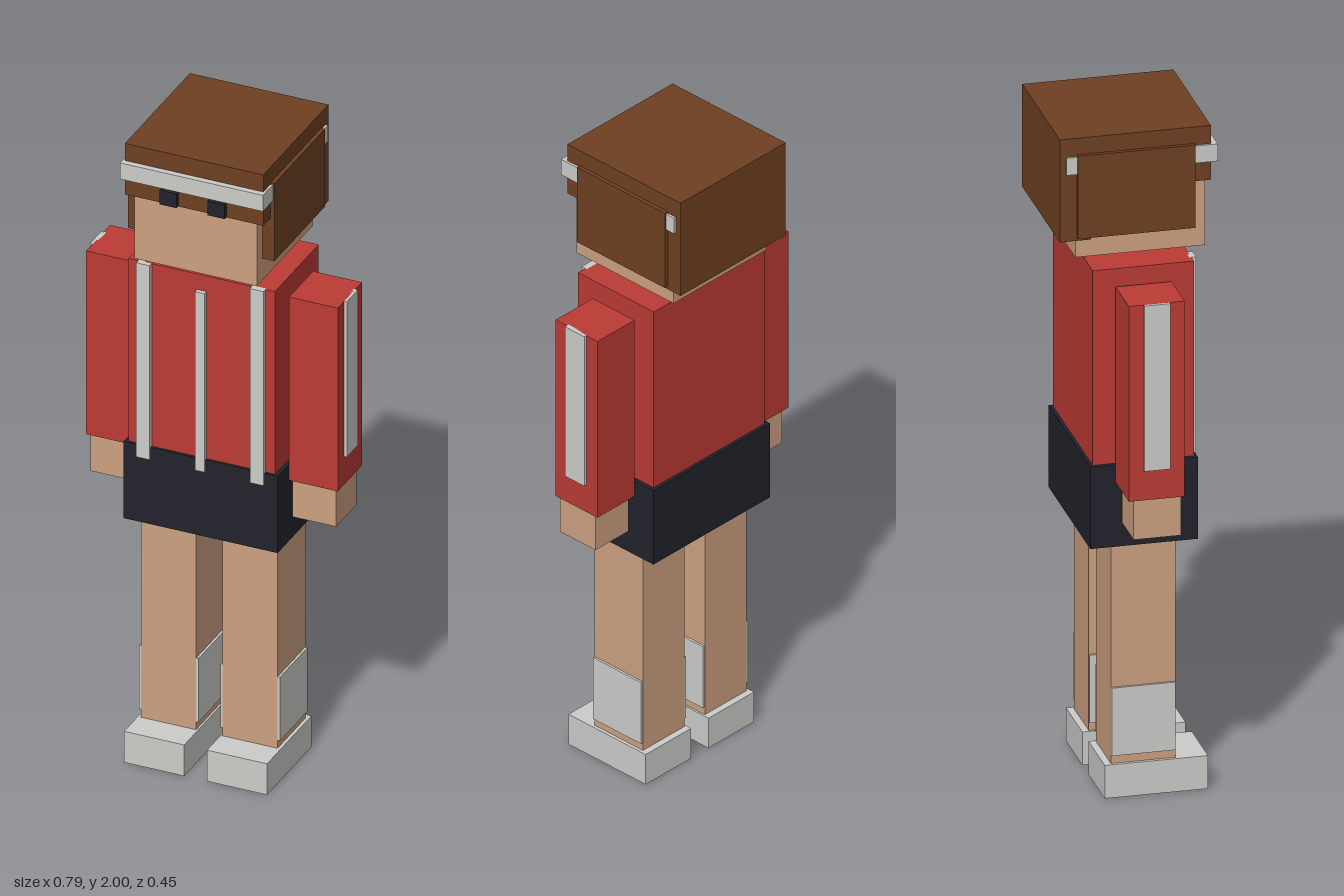
import * as THREE from 'three';

const mat = (name, color) => {
  const m = new THREE.MeshStandardMaterial({ color });
  m.name = name;
  return m;
};

export function createModel() {
  const skin = mat('skin', 0xcda181);
  const red = mat('red jacket', 0xbc3b35);
  const brown = mat('brown hair', 0x6f4022);
  const navy = mat('dark navy', 0x22222c);
  const white = mat('off white', 0xcdcdca);

  const model = new THREE.Group();
  model.name = 'blockFigure';

  const group = (name) => {
    const g = new THREE.Group();
    g.name = name;
    model.add(g);
    return g;
  };

  // Box given by its limits on each axis
  const box = (parent, name, material, [x0, x1], [y0, y1], [z0, z1]) => {
    const mesh = new THREE.Mesh(new THREE.BoxGeometry(x1 - x0, y1 - y0, z1 - z0), material);
    mesh.position.set((x0 + x1) / 2, (y0 + y1) / 2, (z0 + z1) / 2);
    mesh.name = name;
    parent.add(mesh);
  };

  // The same box on the left (+x) and the right (-x)
  const pair = (parent, name, material, [x0, x1], y, z) => {
    box(parent, 'left' + name, material, [x0, x1], y, z);
    box(parent, 'right' + name, material, [-x1, -x0], y, z);
  };

  // Head, hair and headband
  const head = group('head');
  box(head, 'face', skin, [-0.188, 0.188], [1.63, 1.9], [-0.177, 0.197]);
  box(head, 'hairCap', brown, [-0.213, 0.213], [1.836, 2], [-0.228, 0.208]);
  box(head, 'backHair', brown, [-0.213, 0.213], [1.69, 1.836], [-0.228, -0.138]);
  pair(head, 'SideHair', brown, [0.186, 0.225], [1.7, 1.95], [-0.179, 0.16]);
  box(head, 'headband', white, [-0.22, 0.22], [1.893, 1.945], [-0.21, 0.226]);
  pair(head, 'Eye', navy, [0.048, 0.1], [1.838, 1.883], [0.2, 0.222]);

  // Jacket body with front stripes
  const torso = group('torso');
  box(torso, 'jacket', red, [-0.225, 0.225], [0.98, 1.6], [-0.136, 0.156]);
  pair(torso, 'FrontStripe', white, [0.154, 0.196], [0.975, 1.6], [0.15, 0.17]);
  box(torso, 'zip', white, [-0.015, 0.015], [0.975, 1.55], [0.15, 0.17]);
  box(torso, 'shorts', navy, [-0.237, 0.237], [0.765, 1.012], [-0.146, 0.164]);

  // Sleeves, stripes and hands
  const arms = group('arms');
  pair(arms, 'Sleeve', red, [0.237, 0.387], [0.96, 1.55], [-0.073, 0.088]);
  pair(arms, 'SleeveStripe', white, [0.38, 0.395], [1.05, 1.55], [-0.03, 0.045]);
  pair(arms, 'Hand', skin, [0.244, 0.378], [0.84, 0.97], [-0.057, 0.08]);

  // Legs, socks showing at the sides, and shoes
  const legs = group('legs');
  pair(legs, 'Leg', skin, [0.041, 0.21], [0.09, 0.78], [-0.08, 0.106]);
  pair(legs, 'Sock', white, [0.034, 0.217], [0.125, 0.33], [-0.079, 0.105]);
  pair(legs, 'Shoe', white, [0.035, 0.22], [0, 0.1], [-0.1, 0.198]);

  return model;
}
